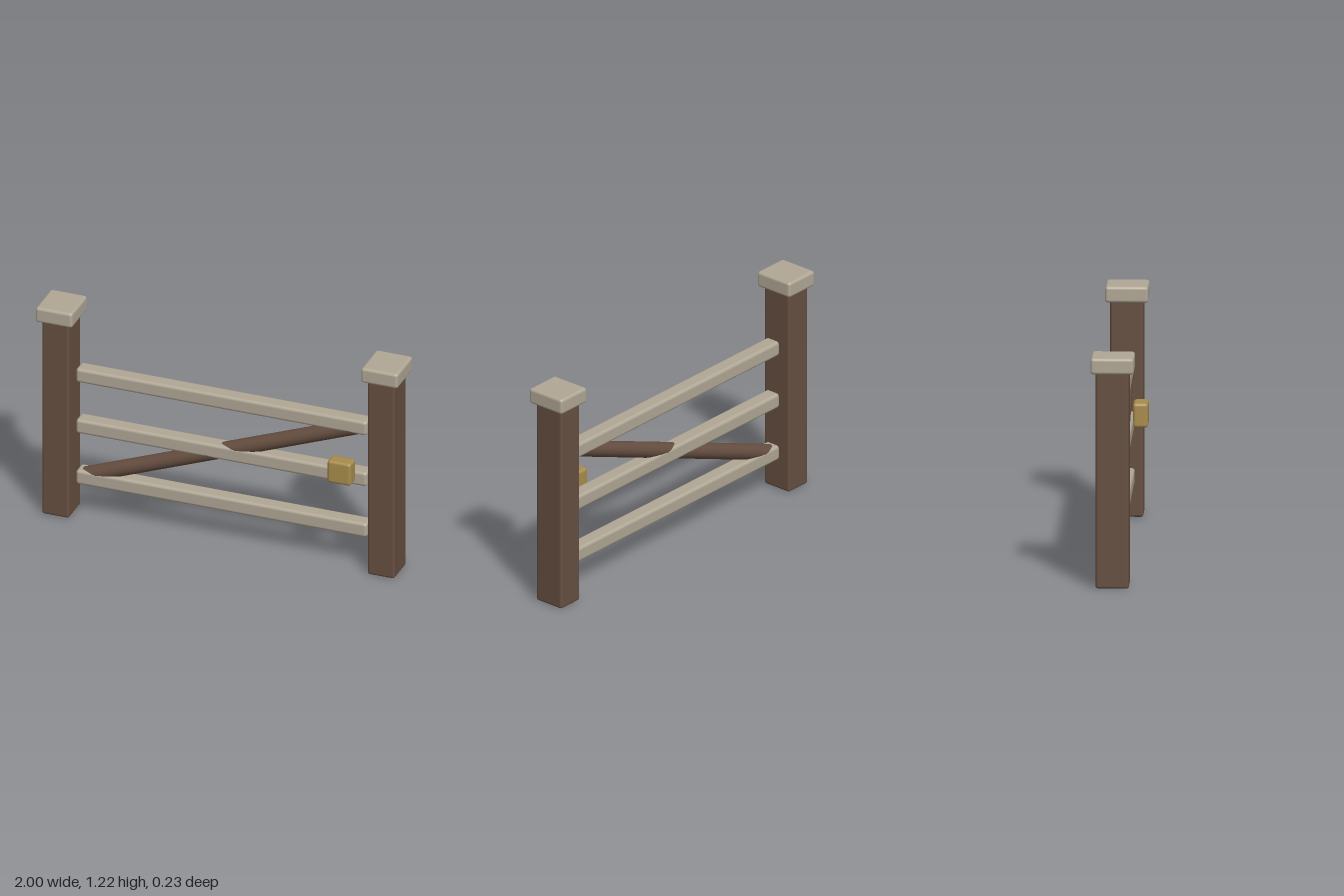
import * as THREE from 'three';
import { RoundedBoxGeometry } from 'three/addons/geometries/RoundedBoxGeometry.js';

const material = (name, color) => {
  const m = new THREE.MeshStandardMaterial({ color });
  m.name = name;
  return m;
};

export function createModel() {
  const darkWood = material('darkWood', 0x674f41);
  const paleWood = material('paleWood', 0xb0a795);
  const brass = material('brass', 0xa88c4c);

  const gate = new THREE.Group();
  gate.name = 'gate';
  const Z = -0.003; // centre plane of the gate

  const add = (name, geometry, mat, x, y, z) => {
    const mesh = new THREE.Mesh(geometry, mat);
    mesh.name = name;
    mesh.position.set(x, y, z);
    gate.add(mesh);
    return mesh;
  };
  const box = (w, h, d, r) => new RoundedBoxGeometry(w, h, d, 2, r);

  // Posts with overhanging caps
  for (const [side, s] of [['left', 1], ['right', -1]]) {
    add(side + 'Post', box(0.15, 1.15, 0.172, 0.014), darkWood, s * 0.898, 0.575, Z);
    add(side + 'PostCap', box(0.204, 0.086, 0.223, 0.016), paleWood, s * 0.898, 1.173, Z);
  }

  // Horizontal rails
  const railHeights = [0.226, 0.524, 0.822];
  ['lowerRail', 'middleRail', 'upperRail'].forEach((name, i) => {
    add(name, box(1.606, 0.082, 0.086, 0.017), paleWood, 0, railHeights[i], Z);
  });

  // Round diagonal brace, rising towards the latch side
  const end = new THREE.Vector2(0.76, 0.294);
  const brace = add('diagonalBrace', new THREE.CylinderGeometry(0.042, 0.042, end.length() * 2, 20),
    darkWood, 0, 0.524, Z);
  brace.rotation.z = end.angle() - Math.PI / 2;

  // Latch block on the front of the middle rail
  add('latch', box(0.13, 0.129, 0.078, 0.016), brass, 0.678, 0.577, 0.076);

  return gate;
}
